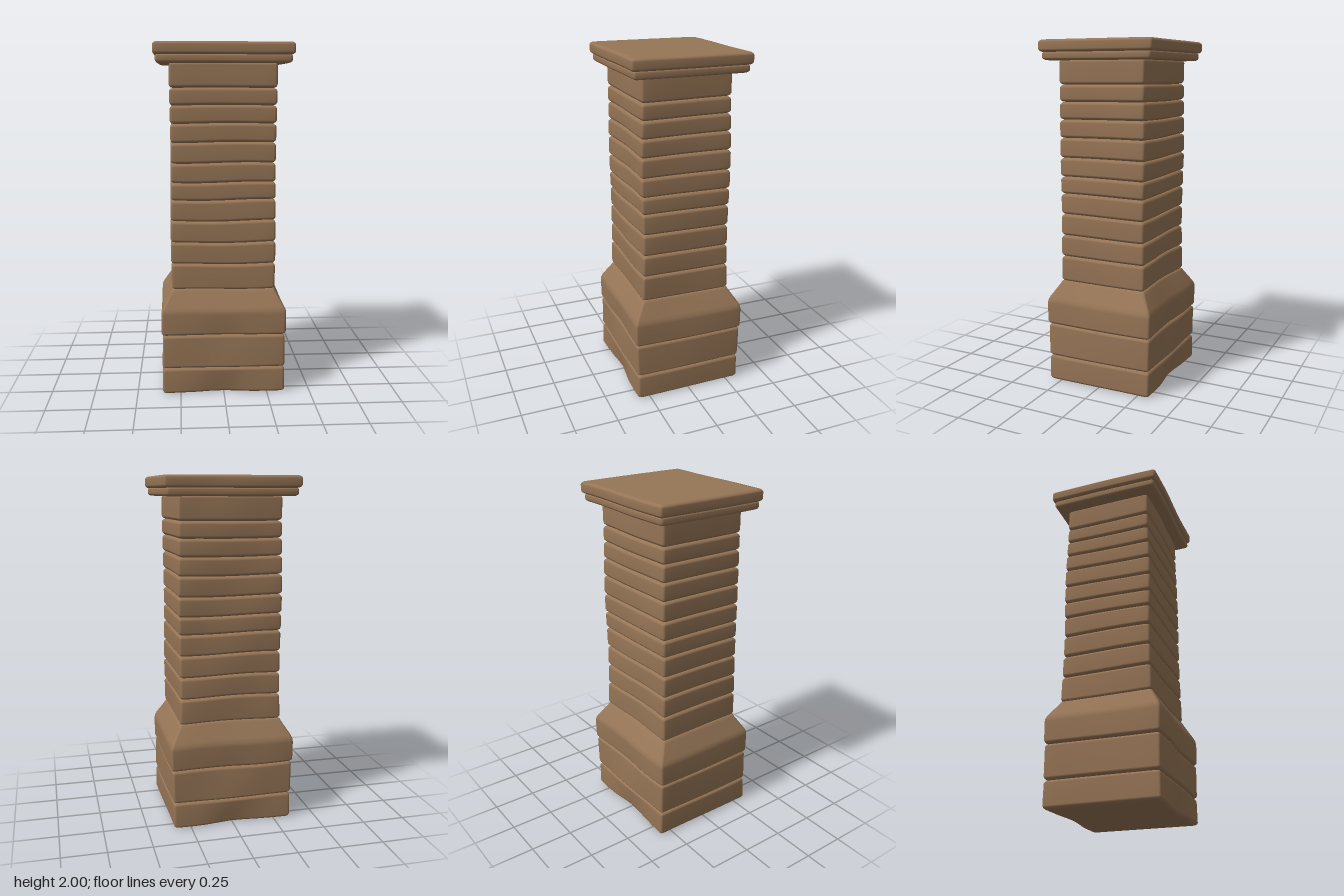
import * as THREE from 'three';

const ARC = 3, SIDE = 8;

// Rounded rectangle outline, counter-clockwise seen from above
function outline(w, d, r) {
  const arcs = [[1, 1], [-1, 1], [-1, -1], [1, -1]].map(([sx, sz], k) => {
    const pts = [];
    for (let i = 0; i <= ARC; i++) {
      const a = (k + i / ARC) * Math.PI / 2;
      pts.push([sx * (w - r) + r * Math.cos(a), -sz * (d - r) - r * Math.sin(a)]);
    }
    return pts;
  });
  const out = [];
  arcs.forEach((arc, k) => {
    out.push(...arc);
    const p = arc[ARC], q = arcs[(k + 1) % 4][0];
    for (let i = 1; i < SIDE; i++) {
      const t = i / SIDE;
      out.push([p[0] + (q[0] - p[0]) * t, p[1] + (q[1] - p[1]) * t]);
    }
  });
  return out;
}

const bump = (v, c, s) => Math.exp(-(((v - c) / s) ** 2));

// Gentle hand-worn unevenness; zero height change at the very top and bottom
function warp(x, y, z) {
  const mid = Math.sin(Math.PI * Math.min(Math.max(y / 2, 0), 1));
  const dy = 0.004 * mid * Math.sin(9 * x + 5 * z + 4 * y);
  const dx = 0.003 * Math.sin(7 * y + 6 * z) * Math.sign(x) * Math.min(1, Math.abs(x) * 5);
  const dent = 0.022 * bump(x, 0, 0.13) * (bump(y, 0.02, 0.08) + 0.5 * bump(y, 0.37, 0.06));
  const dz = (0.003 * Math.sin(11 * x + 8 * y) - dent) * Math.sign(z) * Math.min(1, Math.abs(z) * 4);
  return [x + dx, y + dy, z + dz];
}

// Closed stone lofted through rings of [y, half width, half depth]
function loft(rings) {
  const pos = [], index = [];
  let n = 0;
  for (const [y, w, d] of rings) {
    const o = outline(w, d, 0.014);
    n = o.length;
    for (const [x, z] of o) pos.push(...warp(x, y, z));
  }
  for (let k = 0; k < rings.length - 1; k++) {
    for (let j = 0; j < n; j++) {
      const a = k * n + j, b = k * n + (j + 1) % n;
      index.push(a, b, b + n, a, b + n, a + n);
    }
  }
  const last = rings.length - 1, low = pos.length / 3, high = low + 1;
  pos.push(0, rings[0][0], 0, 0, rings[last][0], 0);
  for (let j = 0; j < n; j++) {
    const m = (j + 1) % n;
    index.push(low, m, j, high, last * n + j, last * n + m);
  }
  const g = new THREE.BufferGeometry();
  g.setAttribute('position', new THREE.Float32BufferAttribute(pos, 3));
  g.setIndex(index);
  g.computeVertexNormals();
  return g;
}

// Stone with softened upper and lower edges; an optional shoulder tapers its top
function stone(y0, y1, w, d, bevel = 0.018, shoulder = null) {
  const edge = [[0, 0.06], [0, 0.022], [0.12, 0.012], [0.5, 0.004], [1, 0]];
  const rings = edge.map(([t, inset]) => [y0 + t * bevel, w - inset, d - inset]);
  let tw = w, td = d;
  if (shoulder) {
    rings.push([shoulder.y - 0.02, w, d], [shoulder.y, w - 0.003, d - 0.003],
      [shoulder.y + 0.02, w - 0.012, d - 0.012]);
    tw = shoulder.w;
    td = shoulder.d;
  }
  for (const [t, inset] of edge.slice().reverse()) rings.push([y1 - t * bevel, tw - inset, td - inset]);
  return loft(rings);
}

export function createModel() {
  const model = new THREE.Group();
  model.name = 'stonePillar';
  const brown = new THREE.MeshStandardMaterial({ color: 0x967556 });
  brown.name = 'brownStone';
  const add = (name, geometry) => {
    const mesh = new THREE.Mesh(geometry, brown);
    mesh.name = name;
    model.add(mesh);
  };

  // Wide base with a sloping shoulder
  add('baseLower', stone(0.005, 0.158, 0.352, 0.325));
  add('baseMiddle', stone(0.158, 0.355, 0.354, 0.327));
  add('baseShoulder', stone(0.355, 0.615, 0.36, 0.33, 0.018, { y: 0.5, w: 0.303, d: 0.27 }));

  // Shaft courses
  const joints = [0.61, 0.76, 0.885, 1.01, 1.13, 1.23, 1.34, 1.455, 1.56, 1.66, 1.755, 1.895];
  for (let i = 0; i < joints.length - 1; i++) {
    add('shaftCourse' + (i + 1), stone(joints[i], joints[i + 1], 0.297, 0.264));
  }

  // Two-step cap
  add('capMoulding', stone(1.888, 1.938, 0.37, 0.328, 0.014));
  add('capSlab', stone(1.932, 2, 0.385, 0.342, 0.016));
  return model;
}
